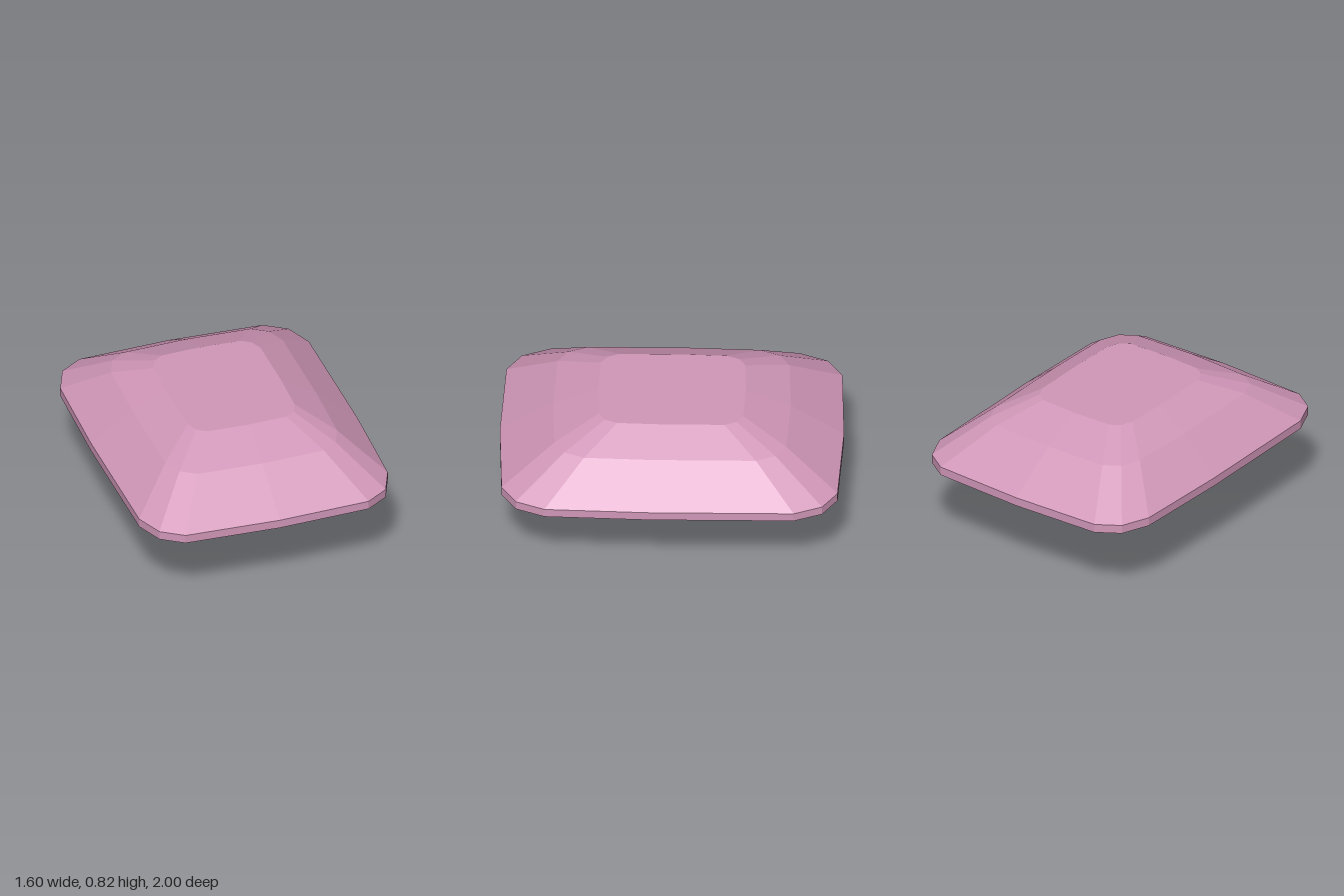
import * as THREE from 'three';

// Half of the girdle outline as [x, z]; the other half is its 180 degree turn
const HALF = [
  [-0.48, 1.0], [0.08, 0.98], [0.62, 0.915], [0.745, 0.82],
  [0.8, 0.65], [0.77, 0.06], [0.695, -0.77], [0.615, -0.925],
];
const OUTLINE = [...HALF, ...HALF.map(([x, z]) => [-x, -z])];

// The outline scaled about the axis at a given height
const ring = ([scale, y]) => OUTLINE.map(([x, z]) => [x * scale, y, z * scale]);

// Flat facets between stacked rings, optionally closed at either end
function facets(levels, capBottom = false, capTop = false) {
  const rings = levels.map(ring);
  const n = OUTLINE.length;
  const pos = [];
  const tri = (a, b, c) => pos.push(...a, ...b, ...c);
  for (let k = 0; k + 1 < rings.length; k++) {
    const lo = rings[k], hi = rings[k + 1];
    for (let i = 0; i < n; i++) {
      const j = (i + 1) % n;
      tri(lo[i], lo[j], hi[j]);
      tri(lo[i], hi[j], hi[i]);
    }
  }
  const first = rings[0], last = rings[rings.length - 1];
  for (let i = 1; i < n - 1; i++) {
    if (capBottom) tri(first[0], first[i + 1], first[i]);
    if (capTop) tri(last[0], last[i], last[i + 1]);
  }
  const geometry = new THREE.BufferGeometry();
  geometry.setAttribute('position', new THREE.Float32BufferAttribute(pos, 3));
  geometry.computeVertexNormals();
  return geometry;
}

export function createModel() {
  const gem = new THREE.Group();
  gem.name = 'gem';
  const pink = new THREE.MeshStandardMaterial({ color: 0xd197b8, flatShading: true });
  pink.name = 'rose pink';

  const add = (name, geometry) => {
    const mesh = new THREE.Mesh(geometry, pink);
    mesh.name = name;
    gem.add(mesh);
  };

  // Levels are [outline scale, height]
  add('pavilion', facets([[0.033, 0], [0.515, 0.207], [1, 0.47]], true));
  add('girdle', facets([[1, 0.47], [1, 0.522]]));
  add('crown', facets([[1, 0.522], [0.69, 0.72], [0.43, 0.825]], false, true));
  return gem;
}
